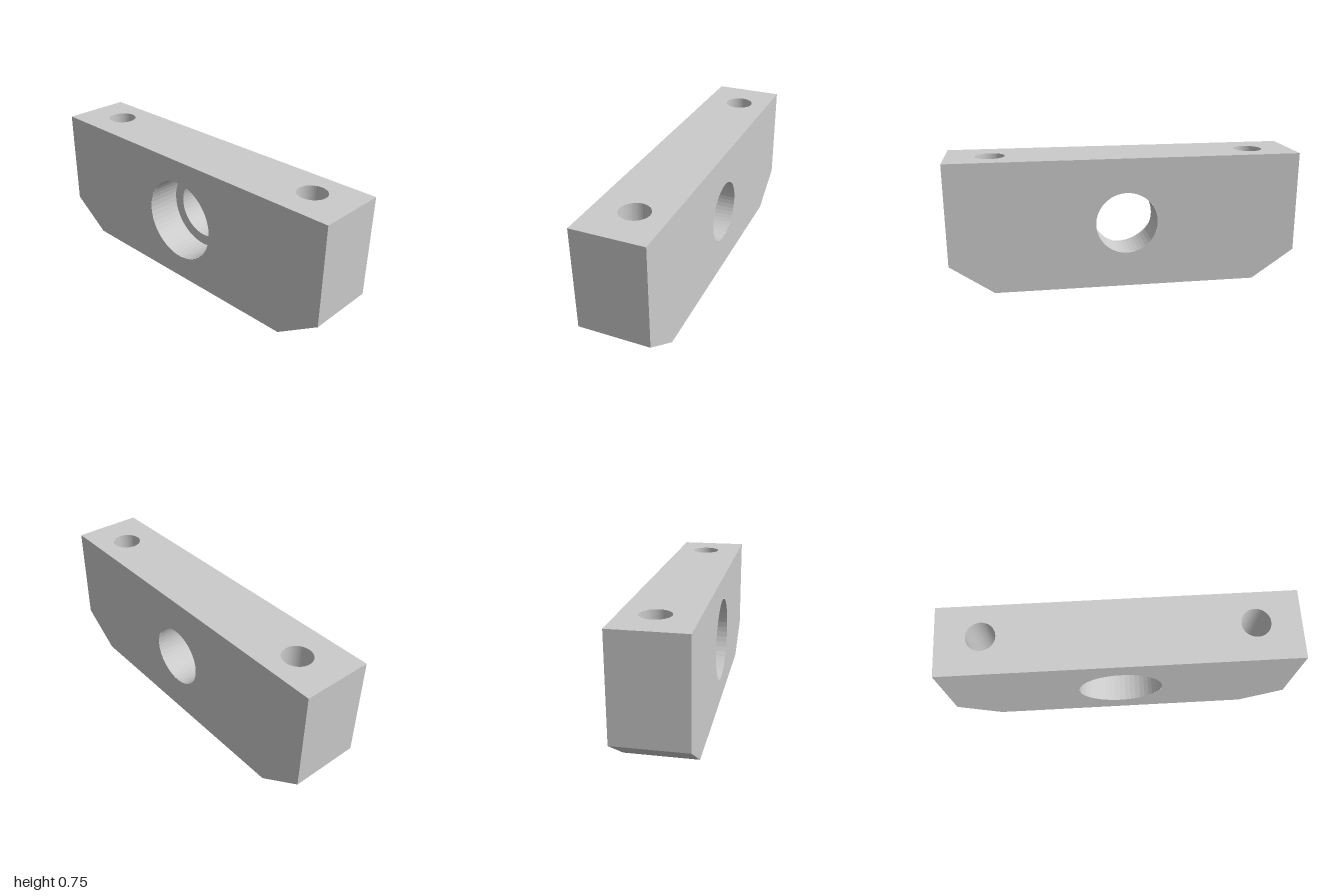
import * as THREE from 'three';
import { mergeGeometries } from 'three/addons/utils/BufferGeometryUtils.js';

const HALF_D = 0.2, HEIGHT = 0.75, SEGMENTS = 48;
const BORE_Y = 0.378, BORE_R = 0.176, COUNTERBORE_R = 0.24, SHOULDER_Z = 0;
const SCREW_X = 0.75, SCREW_Z = -0.017, SCREW_R = 0.082, SCREW_DEPTH = 0.4;

// Block outline, counter-clockwise from the top left corner
const OUTLINE = [
  [-1, HEIGHT], [-1, 0.17], [-0.755, 0], [0.755, 0], [1, 0.17], [1, HEIGHT],
].map(([x, y]) => new THREE.Vector2(x, y));

const material = new THREE.MeshStandardMaterial({ color: 0xcccccc, flatShading: true });

// Flat face with round holes given as [x, y, radius]
function face(points, holes) {
  const shape = new THREE.Shape(points);
  for (const [x, y, r] of holes) {
    shape.holes.push(new THREE.Path().absarc(x, y, r, 0, Math.PI * 2, true));
  }
  return new THREE.ShapeGeometry(shape, SEGMENTS);
}

// Open tube along y whose faces point inward
function holeWall(radius, length) {
  const geometry = new THREE.CylinderGeometry(radius, radius, length, SEGMENTS, 1, true)
    .scale(-1, 1, 1).toNonIndexed();
  geometry.computeVertexNormals();
  return geometry;
}

// Flat wall spanning the block's depth along one outline edge
function edgeWall(a, b) {
  const wall = new THREE.PlaneGeometry(a.distanceTo(b), HALF_D * 2);
  return wall.rotateX(-Math.PI / 2)
    .rotateZ(Math.atan2(b.y - a.y, b.x - a.x) + Math.PI)
    .translate((a.x + b.x) / 2, (a.y + b.y) / 2, 0);
}

export function createModel() {
  const group = new THREE.Group();
  group.name = 'mountingBlock';
  const add = (name, geometry) => {
    const mesh = new THREE.Mesh(geometry, material);
    mesh.name = name;
    group.add(mesh);
    return mesh;
  };

  // Front and back faces
  add('frontFace', face(OUTLINE, [[0, BORE_Y, COUNTERBORE_R]]).translate(0, 0, HALF_D));
  const mirrored = OUTLINE.map((p) => new THREE.Vector2(-p.x, p.y)).reverse();
  add('backFace', face(mirrored, [[0, BORE_Y, BORE_R]]).rotateY(Math.PI).translate(0, 0, -HALF_D));

  // Ends, chamfers and underside
  const walls = OUTLINE.slice(0, -1).map((p, i) => edgeWall(p, OUTLINE[i + 1]));
  add('sideWalls', mergeGeometries(walls));

  // Top face with two screw holes
  const top = [[-1, -HALF_D], [1, -HALF_D], [1, HALF_D], [-1, HALF_D]]
    .map(([x, y]) => new THREE.Vector2(x, y));
  const screwHoles = [-1, 1].map((s) => [s * SCREW_X, -SCREW_Z, SCREW_R]);
  add('topFace', face(top, screwHoles).rotateX(-Math.PI / 2).translate(0, HEIGHT, 0));

  // Stepped central bore
  const bore = (name, radius, z0, z1) => add(name,
    holeWall(radius, z1 - z0).rotateX(Math.PI / 2).translate(0, BORE_Y, (z0 + z1) / 2));
  bore('counterbore', COUNTERBORE_R, SHOULDER_Z, HALF_D);
  bore('throughBore', BORE_R, -HALF_D, SHOULDER_Z);
  add('boreShoulder', new THREE.RingGeometry(BORE_R, COUNTERBORE_R, SEGMENTS)
    .translate(0, BORE_Y, SHOULDER_Z));

  // Blind screw holes
  for (const [side, name] of [[-1, 'right'], [1, 'left']]) {
    add(name + 'ScrewHole', holeWall(SCREW_R, SCREW_DEPTH)
      .translate(side * SCREW_X, HEIGHT - SCREW_DEPTH / 2, SCREW_Z));
    add(name + 'ScrewHoleFloor', new THREE.CircleGeometry(SCREW_R, SEGMENTS)
      .rotateX(-Math.PI / 2).translate(side * SCREW_X, HEIGHT - SCREW_DEPTH, SCREW_Z));
  }
  return group;
}
